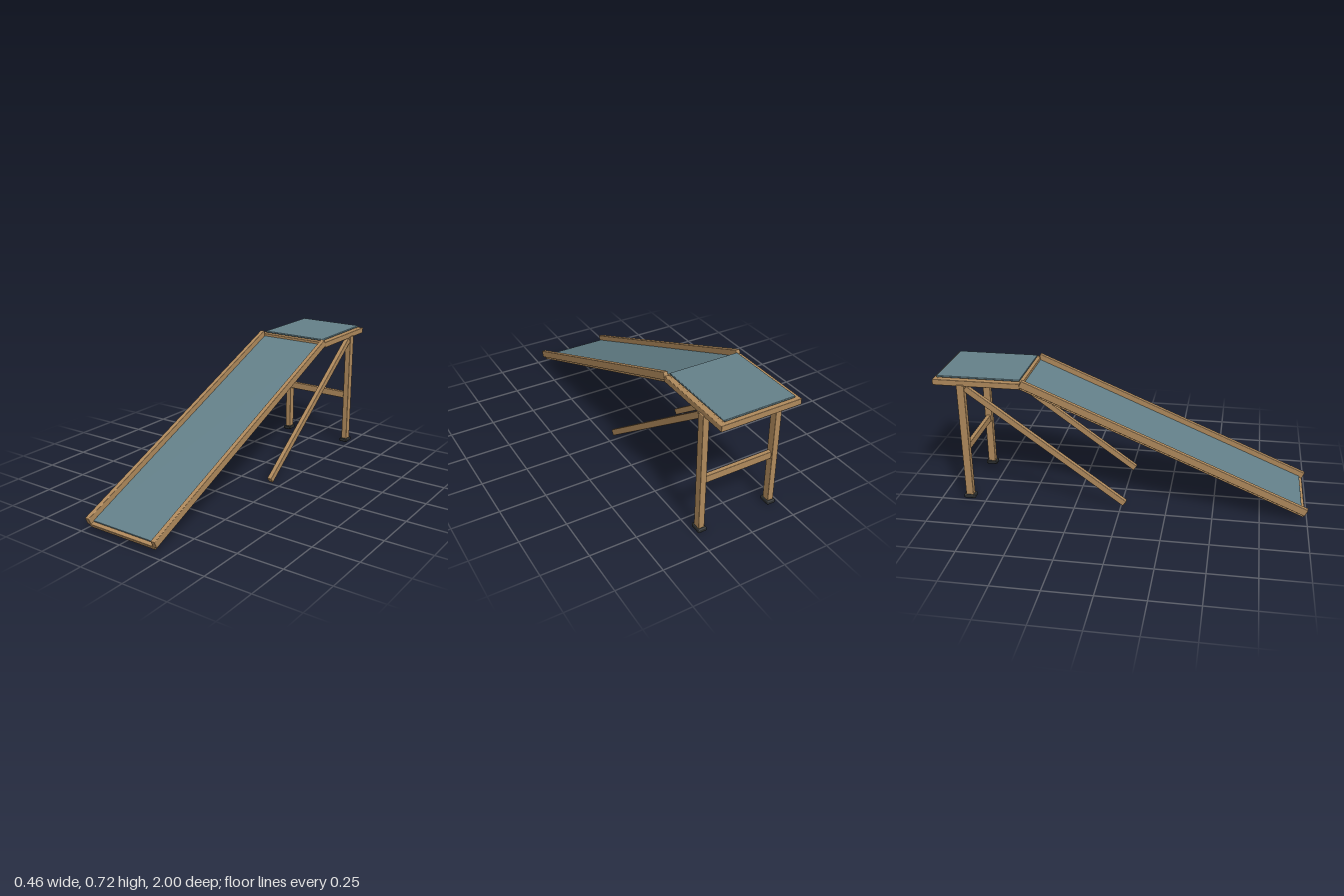
import * as THREE from 'three';
import { RoundedBoxGeometry } from 'three/addons/geometries/RoundedBoxGeometry.js';

const wood = new THREE.MeshStandardMaterial({ color: 0xb08a5c });
const turf = new THREE.MeshStandardMaterial({ color: 0x648089 });
const rubber = new THREE.MeshStandardMaterial({ color: 0x2a2d2e });

// Softly edged box given by its [min, max] range on each axis
function block(parent, name, material, [x0, x1], [y0, y1], [z0, z1], radius = 0.003) {
  const geometry = new RoundedBoxGeometry(x1 - x0, y1 - y0, z1 - z0, 2, radius);
  const mesh = new THREE.Mesh(geometry, material);
  mesh.position.set((x0 + x1) / 2, (y0 + y1) / 2, (z0 + z1) / 2);
  mesh.name = name;
  parent.add(mesh);
  return mesh;
}

const mirrored = (side, a, b) => (side > 0 ? [a, b] : [-b, -a]);

export function createModel() {
  const model = new THREE.Group();
  model.name = 'ramp';

  // Sloping ramp: local z runs down the slope, y = 0 is the top of the rails
  const slope = new THREE.Group();
  slope.name = 'slope';
  slope.position.set(0, 0.078, 1);
  slope.rotation.x = Math.atan2(0.638, 1.517);
  model.add(slope);
  const length = 1.646;
  block(slope, 'slopeBoard', wood, [-0.205, 0.205], [-0.056, -0.036], [-length, 0]);
  block(slope, 'slopeTurf', turf, [-0.193, 0.193], [-0.037, -0.028], [-length + 0.01, -0.02]);

  // Level platform: deck inside a frame, with a turf mat on top
  const platform = new THREE.Group();
  platform.name = 'platform';
  model.add(platform);
  block(platform, 'deck', wood, [-0.2, 0.2], [0.68, 0.697], [-0.985, -0.53]);
  block(platform, 'platformTurf', turf, [-0.193, 0.193], [0.702, 0.712], [-0.983, -0.533]);
  block(platform, 'frontFrameBar', wood, [-0.195, 0.195], [0.667, 0.699], [-0.54, -0.516]);
  block(platform, 'backFrameBar', wood, [-0.218, 0.218], [0.667, 0.699], [-1, -0.976]);

  for (const side of [1, -1]) {
    const label = side > 0 ? 'left' : 'right';
    const railX = mirrored(side, 0.195, 0.2195);
    block(slope, label + 'SlopeRail', wood, railX, [-0.04, 0], [-length, 0]);
    block(platform, label + 'FrameBar', wood, mirrored(side, 0.194, 0.218), [0.667, 0.699], [-0.998, -0.528]);

    // Leg with its rubber foot
    block(model, label + 'Leg', wood, mirrored(side, 0.19, 0.2235), [0.01, 0.675], [-0.869, -0.827]);
    block(model, label + 'Foot', rubber, mirrored(side, 0.183, 0.23), [0, 0.021], [-0.88, -0.816], 0.005);

    // Diagonal strut from the leg top down towards the front
    const low = new THREE.Vector3(side * 0.207, 0.033, 0.024);
    const high = new THREE.Vector3(side * 0.207, 0.657, -0.825);
    const half = low.distanceTo(high) / 2;
    const strut = block(model, label + 'Strut', wood, [-0.013, 0.013], [-0.017, 0.017], [-half, half]);
    strut.position.copy(low).lerp(high, 0.5);
    strut.rotation.x = Math.atan2(high.y - low.y, low.z - high.z);
  }

  // Crossbar joining the legs
  block(model, 'legCrossbar', wood, [-0.195, 0.195], [0.28, 0.32], [-0.86, -0.836]);
  return model;
}
